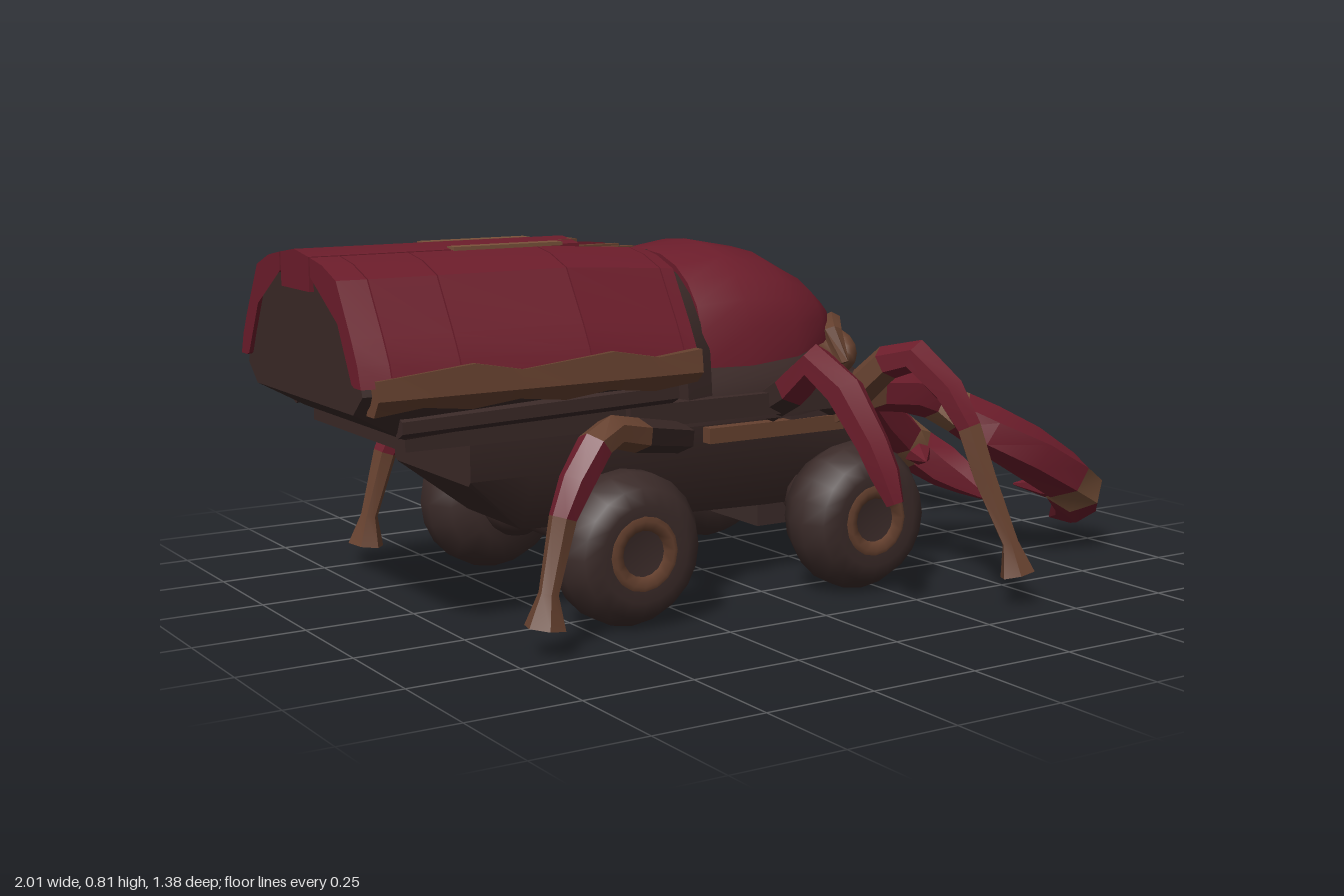
import * as THREE from 'three';
import { toCreasedNormals } from 'three/addons/utils/BufferGeometryUtils.js';

export function createModel() {
  const root = new THREE.Group();
  root.name = 'beetleVehicle';
  const mat = (name, color) => {
    const m = new THREE.MeshStandardMaterial({ color });
    m.name = name;
    return m;
  };
  const red = mat('crimson shell', 0x6c1d2b);
  const dark = mat('dark brown frame', 0x3a2927);
  const tyre = mat('tyre brown', 0x3b2b29);
  const brown = mat('worn brown', 0x66412f);
  const tan = mat('tan edge', 0x79523a);
  const yellow = mat('eye yellow', 0xc9b526);

  const add = (name, geo, m, x = 0, y = 0, z = 0) => {
    const mesh = new THREE.Mesh(geo, m);
    mesh.name = name;
    mesh.position.set(x, y, z);
    root.add(mesh);
    return mesh;
  };
  const box = (name, m, x0, x1, y0, y1, z0, z1) =>
    add(name, new THREE.BoxGeometry(x1 - x0, y1 - y0, Math.abs(z1 - z0)), m,
      (x0 + x1) / 2, (y0 + y1) / 2, (z0 + z1) / 2);
  const wideBox = (name, m, x0, x1, y0, y1, half) => box(name, m, x0, x1, y0, y1, -half, half);

  // Skin a row of equal-sized rings and cap both ends, facing outward
  function loft(rings, crease = 0.5) {
    const n = rings[0].length, pos = rings.flat().flat(), tris = [];
    for (let i = 0; i < rings.length - 1; i++)
      for (let j = 0; j < n; j++) {
        const a = i * n + j, b = i * n + (j + 1) % n;
        tris.push([a, b, b + n], [a, b + n, a + n]);
      }
    const last = (rings.length - 1) * n;
    [0, last].forEach(start => {
      const c = pos.length / 3, ring = rings[start / n];
      for (let k = 0; k < 3; k++) pos.push(ring.reduce((t, p) => t + p[k], 0) / n);
      for (let j = 0; j < n; j++) {
        const a = start + j, b = start + (j + 1) % n;
        tris.push(start ? [c, a, b] : [c, b, a]);
      }
    });
    const v = i => new THREE.Vector3(pos[3 * i], pos[3 * i + 1], pos[3 * i + 2]);
    const vol = tris.reduce((t, [a, b, c]) => t + v(a).dot(v(b).cross(v(c))), 0);
    if (vol < 0) tris.forEach(t => t.reverse());
    const g = new THREE.BufferGeometry();
    g.setAttribute('position', new THREE.Float32BufferAttribute(pos, 3));
    g.setIndex(tris.flat());
    return toCreasedNormals(g, crease);
  }

  // Six-sided rings along a path of stations [x, y, z, halfWidth, halfHeight]
  function limbRings(stations) {
    const up = new THREE.Vector3(0, 1, 0);
    const p = stations.map(q => new THREE.Vector3(q[0], q[1], q[2]));
    return p.map((c, i) => {
      const t = p[Math.min(i + 1, p.length - 1)].clone().sub(p[Math.max(i - 1, 0)]).normalize();
      const side = t.clone().cross(up).normalize(), top = side.clone().cross(t);
      const [, , , w, h = w] = stations[i];
      return Array.from({ length: 6 }, (_, k) => {
        const a = (k + 0.5) / 3 * Math.PI;
        return c.clone().addScaledVector(side, Math.cos(a) * w * 1.15).addScaledVector(top, Math.sin(a) * h).toArray();
      });
    });
  }
  // Mirrored pair of limbs; parts are [name, material, last station], each starting where the one before ends
  function limbPair(stations, ...parts) {
    for (const s of [1, -1]) {
      const rings = limbRings(stations.map(([x, y, z, ...r]) => [x, y, z * s, ...r]));
      let from = 0;
      for (const [name, m, to = rings.length - 1] of parts) {
        add(name, loft(rings.slice(from, to + 1)), m);
        from = to;
      }
    }
  }

  // Arched cross-section: half width, top and base heights
  const arch = ([x, w, top, base]) => Array.from({ length: 13 }, (_, i) => {
    const a = i / 12 * Math.PI, c = Math.cos(a);
    return [x, base + (top - base) * Math.pow(Math.sin(a), 0.85), w * Math.sign(c) * Math.pow(Math.abs(c), 0.85)];
  });
  const dome = (name, m, ...sections) => add(name, loft(sections.map(arch), 0.6), m);

  // Wing cases: one outer profile, thickened inward and split by narrow seams
  const outer = [[0.085, 0.801], [0.15, 0.79], [0.22, 0.765], [0.29, 0.655], [0.318, 0.605], [0.333, 0.56]];
  const taper = x => (x < -0.97 ? 0.975 : x > -0.25 ? 0.97 : 1);
  const drop = x => Math.max(0, 0.09 * (x + 0.4));
  const wingRing = (x, s) => [...outer, ...outer.map(([z, y]) => [z === 0.085 ? z : z * 0.9, y === 0.56 ? y : y - 0.04]).reverse()]
    .map(([z, y]) => [x, y - drop(x), z * taper(x) * s]);
  const seams = [-1, -0.933, -0.78, -0.48, -0.245, -0.21];

  // Abdomen core beneath the wing cases
  const coreRing = (x, base) => {
    const h = [...outer.map(([z, y]) => [x, y - 0.018 - drop(x), z * 0.95 * taper(x)]), [x, base, 0.26]];
    return [...h, ...h.map(([a, y, z]) => [a, y, -z]).reverse()];
  };
  add('abdomen', loft([coreRing(-0.99, 0.5), coreRing(-0.88, 0.44), coreRing(-0.35, 0.47), coreRing(-0.2, 0.5)]), dark);

  for (const s of [1, -1]) {
    for (let i = 0; i < 5; i++)
      add('wingPanel', loft([wingRing(seams[i], s), wingRing(seams[i + 1] - 0.003, s)]), red);
    // Worn rim with an uneven upper edge
    const rim = Array.from({ length: 8 }, (_, i) => {
      const x = -0.97 + i * 0.108, t = 0.575 + (i % 3) * 0.01, b = 0.5 + (i % 2) * 0.012;
      return [[x, t, 0.3 * s], [x, t, 0.334 * s], [x, 0.535, 0.34 * s], [x, b, 0.316 * s], [x, b, 0.28 * s]];
    });
    add('wingRim', loft(rim), brown);
    box('wingStripe', tan, -0.68, -0.42, 0.8, 0.808, s * 0.058, s * 0.092);
    box('frontStripe', brown, -0.36, -0.21, 0.778, 0.786, s * 0.022, s * 0.042);
  }
  limbPair([[-0.9, 0.47, 0.27, 0.025], [-0.25, 0.49, 0.27, 0.028]], ['lowerRim', dark]);
  // Gently crowned strip between the wing cases
  add('spineStrip', loft([-1, -0.37].map(x =>
    [[0.73, 0.076], [0.802, 0.076], [0.813, 0], [0.802, -0.076], [0.73, -0.076]].map(p => [x, ...p]))), red);
  wideBox('spineFront', dark, -0.375, -0.2, 0.72, 0.78, 0.085);
  wideBox('spineEnd', brown, -0.4, -0.355, 0.76, 0.808, 0.04);

  // Collar and domed thorax
  dome('collar', dark, [-0.23, 0.305, 0.77, 0.47], [-0.15, 0.275, 0.76, 0.47]);
  dome('thorax', red, [-0.165, 0.265, 0.775, 0.53], [-0.05, 0.285, 0.792, 0.53], [0.08, 0.275, 0.768, 0.54],
    [0.18, 0.235, 0.715, 0.56], [0.25, 0.165, 0.66, 0.57], [0.305, 0.06, 0.605, 0.575]);
  dome('thoraxUnderside', dark, [-0.2, 0.25, 0.56, 0.4], [0.1, 0.25, 0.57, 0.4], [0.22, 0.2, 0.58, 0.4]);

  // Head, crest, brows, eyes and snout
  dome('head', dark, [0.1, 0.22, 0.6, 0.38], [0.25, 0.21, 0.59, 0.38], [0.31, 0.16, 0.57, 0.38], [0.36, 0.08, 0.5, 0.38]);
  dome('crest', tan, [0.27, 0.05, 0.638, 0.585], [0.35, 0.045, 0.585, 0.565]);
  wideBox('snout', brown, 0.3, 0.42, 0.3, 0.44, 0.06);
  wideBox('snoutPlate', dark, 0.418, 0.425, 0.31, 0.41, 0.038);
  wideBox('snoutBridge', brown, 0.33, 0.43, 0.425, 0.45, 0.06);
  wideBox('noseBar', brown, 0.35, 0.372, 0.48, 0.495, 0.065);
  for (const s of [1, -1]) {
    box('snoutProng', tan, 0.42, 0.465, 0.4, 0.435, s * 0.035, s * 0.06);
    add('eyeSocket', new THREE.SphereGeometry(0.06, 12, 8), brown, 0.26, 0.525, s * 0.165).scale.set(0.75, 0.9, 1.15);
  }
  limbPair([[0.318, 0.5, 0.13, 0.008], [0.3, 0.515, 0.16, 0.018, 0.032], [0.282, 0.53, 0.19, 0.016, 0.028], [0.262, 0.54, 0.21, 0.008]], ['eye', yellow]);
  limbPair([[0.35, 0.52, 0.05, 0.014], [0.3, 0.58, 0.09, 0.018], [0.255, 0.598, 0.16, 0.02], [0.215, 0.58, 0.22, 0.02], [0.225, 0.51, 0.25, 0.014]], ['brow', brown]);
  limbPair([[0.24, 0.44, 0.18, 0.05], [0.33, 0.44, 0.12, 0.045], [0.38, 0.42, 0.08, 0.025]], ['cheek', dark]);

  // Chassis
  wideBox('rearDeck', dark, -0.87, -0.3, 0.41, 0.47, 0.24);
  const hull = [[-0.7, 0.18, 0.31], [-0.55, 0.13, 0.19], [0.1, 0.12, 0.17], [0.33, 0.12, 0.17]];
  add('hull', loft(hull.map(([x, w, b]) => [[x, 0.43, 0.19], [x, 0.32, 0.19], [x, b, w], [x, b, -w], [x, 0.32, -0.19], [x, 0.43, -0.19]])), dark);
  wideBox('frontAxleBlock', tyre, 0.09, 0.34, 0.115, 0.28, 0.1);
  for (const s of [1, -1]) {
    box('sideRail', brown, -0.12, 0.25, 0.35, 0.385, s * 0.18, s * 0.22);
    box('upperRail', dark, -0.35, 0.2, 0.41, 0.46, s * 0.18, s * 0.26);
  }
  limbPair([[0.3, 0.36, 0.1, 0.03], [0.35, 0.25, 0.15, 0.035], [0.33, 0.2, 0.19, 0.025]], ['bumperStrut', dark]);

  // Wheels with rounded tyres, hub rings and axle joints
  const profile = [[0, -0.1], [0.09, -0.1], [0.14, -0.07], [0.168, -0.01], [0.168, 0.035], [0.14, 0.08],
    [0.105, 0.095], [0.055, 0.085], [0, 0.08]].map(p => new THREE.Vector2(...p));
  for (const x of [-0.4, 0.21]) {
    for (const s of [1, -1]) {
      const wheel = add('wheel', toCreasedNormals(new THREE.LatheGeometry(profile, 20), 0.8), tyre, x, 0.17, s * 0.31);
      wheel.rotation.x = s * Math.PI / 2;
      add('hubRing', new THREE.TorusGeometry(0.071, 0.021, 4, 16), brown, x, 0.17, s * 0.395).scale.z = 0.5;
      add('axleJoint', new THREE.SphereGeometry(0.08, 12, 8), dark, x, 0.18, s * 0.18);
    }
    add('axle', new THREE.CylinderGeometry(0.05, 0.05, 0.5, 10), dark, x, 0.18, 0).rotation.x = Math.PI / 2;
  }

  // Rear legs
  limbPair([[-0.22, 0.38, 0.25, 0.035], [-0.4, 0.42, 0.37, 0.037], [-0.48, 0.44, 0.4, 0.035], [-0.53, 0.42, 0.42, 0.036],
    [-0.58, 0.35, 0.43, 0.036], [-0.615, 0.28, 0.435, 0.028], [-0.655, 0.13, 0.445, 0.02], [-0.665, 0.06, 0.447, 0.042]],
  ['rearHip', dark, 1], ['rearKnee', brown, 3], ['rearThigh', red, 5], ['rearFoot', brown]);
  // Middle legs, held off the ground
  limbPair([[0.05, 0.42, 0.2, 0.04], [0.055, 0.47, 0.29, 0.043], [0.07, 0.535, 0.36, 0.043], [0.09, 0.48, 0.44, 0.043],
    [0.115, 0.37, 0.51, 0.037], [0.125, 0.31, 0.54, 0.034], [0.135, 0.245, 0.565, 0.02]],
  ['middleHip', dark, 1], ['middleLeg', red]);
  // Front legs
  limbPair([[0.21, 0.42, 0.2, 0.04], [0.25, 0.46, 0.29, 0.042], [0.275, 0.52, 0.35, 0.04], [0.305, 0.54, 0.42, 0.04],
    [0.335, 0.47, 0.5, 0.037], [0.36, 0.39, 0.54, 0.029], [0.375, 0.28, 0.58, 0.027], [0.405, 0.14, 0.635, 0.019], [0.415, 0.07, 0.65, 0.04]],
  ['frontHip', dark, 1], ['frontKnee', brown, 2], ['frontThigh', red, 5], ['frontFoot', brown]);
  // Pincer arms with broad claws, a pointed tip and an inner tooth
  limbPair([[0.22, 0.42, 0.22, 0.055], [0.34, 0.43, 0.192, 0.065, 0.05], [0.45, 0.42, 0.195, 0.065, 0.052], [0.53, 0.395, 0.2, 0.06, 0.05],
    [0.585, 0.36, 0.235, 0.07, 0.053], [0.635, 0.325, 0.275, 0.09, 0.06], [0.73, 0.265, 0.315, 0.092, 0.065], [0.84, 0.195, 0.322, 0.074, 0.064],
    [0.895, 0.15, 0.31, 0.064, 0.062], [0.945, 0.11, 0.26, 0.05, 0.06], [0.975, 0.08, 0.2, 0.036, 0.045], [0.998, 0.033, 0.11, 0.003]],
  ['armShoulder', brown, 1], ['armUpper', red, 3], ['armJoint', tan, 4], ['claw', red, 7], ['clawBand', tan, 8], ['clawTip', red]);
  limbPair([[0.88, 0.16, 0.3, 0.045, 0.04], [0.85, 0.155, 0.25, 0.03, 0.03], [0.815, 0.15, 0.175, 0.003]], ['clawTooth', red]);

  return root;
}
